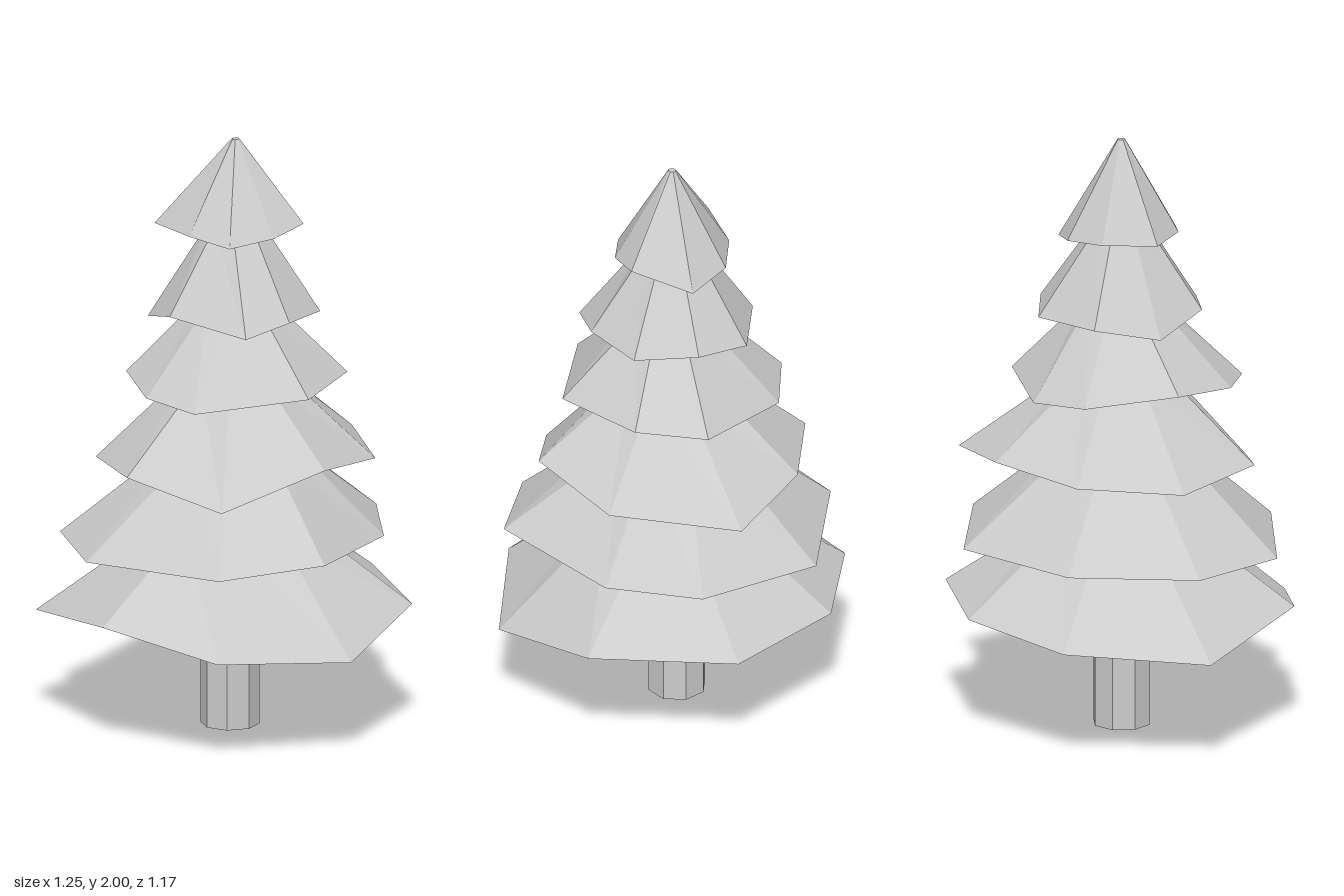
import * as THREE from 'three';

const SIDES = 8;
const AXIS_X = 0.035, AXIS_Z = -0.015;

const material = new THREE.MeshStandardMaterial({
  color: 0xcccccc, flatShading: true, side: THREE.DoubleSide,
});

// Skirts from bottom to top. Corners run from +x towards +z:
// rim = height of each corner, nudge = sideways shift [x, z] of uneven corners
const tiers = [
  { radius: 0.6, topRadius: 0.22, topY: 0.70,
    rim: [0.43, 0.34, 0.37, 0.44, 0.37, 0.4, 0.43, 0.435],
    nudge: { 0: [-0.015, 0.015], 3: [0.03, 0.015], 4: [-0.06, 0], 6: [-0.023, 0.027], 7: [-0.022, -0.021] } },
  { radius: 0.55, topRadius: 0.18, topY: 0.97,
    rim: [0.655, 0.675, 0.64, 0.635, 0.64, 0.65, 0.65, 0.67],
    nudge: { 0: [-0.06, 0], 1: [-0.05, 0.06], 3: [-0.07, -0.045], 4: [-0.03, 0], 6: [0.05, -0.005], 7: [0.043, 0.06] } },
  { radius: 0.462, topRadius: 0.15, topY: 1.21,
    rim: [0.92, 0.965, 0.847, 0.923, 0.9, 0.93, 0.95, 0.91],
    nudge: { 7: [0.015, -0.1] } },
  { radius: 0.38, topRadius: 0.12, topY: 1.45,
    rim: [1.2, 1.19, 1.165, 1.18, 1.205, 1.18, 1.16, 1.18],
    nudge: { 0: [-0.015, -0.047], 2: [-0.097, 0.015], 4: [0.022, 0.033], 6: [-0.07, 0.022] } },
  { radius: 0.28, topRadius: 0.09, topY: 1.71,
    rim: [1.418, 1.43, 1.4, 1.44, 1.386, 1.42, 1.418, 1.44],
    nudge: { 2: [0.065, 0.028], 4: [-0.01, 0], 6: [0.03, -0.01] } },
  { radius: 0.198, topRadius: 0.013, topY: 2,
    rim: [1.725, 1.7, 1.677, 1.7, 1.704, 1.69, 1.677, 1.65],
    nudge: { 0: [0.03, 0.035], 4: [-0.07, 0], 7: [0.014, -0.014] } },
];

// One octagonal cross-section; heightAt and nudge vary it per corner
function ring(radius, heightAt, nudge = {}) {
  return Array.from({ length: SIDES }, (_, i) => {
    const a = (i / SIDES) * Math.PI * 2;
    const [dx, dz] = nudge[i] ?? [0, 0];
    return [radius * Math.cos(a) + dx, heightAt(i), radius * Math.sin(a) + dz];
  });
}

// Skin a stack of rings listed from the underside, round the rim, to the top
function skin(rings) {
  const positions = rings.flat(2);
  const index = [];
  for (let r = 0; r < rings.length - 1; r++) {
    for (let i = 0; i < SIDES; i++) {
      const j = (i + 1) % SIDES;
      const a = r * SIDES + i, b = r * SIDES + j;
      index.push(a, a + SIDES, b + SIDES, a, b + SIDES, b);
    }
  }
  const geometry = new THREE.BufferGeometry();
  geometry.setAttribute('position', new THREE.Float32BufferAttribute(positions, 3));
  geometry.setIndex(index);
  geometry.computeVertexNormals();
  return geometry;
}

function makeTier({ radius, topRadius, topY, rim, nudge }) {
  const underY = rim.reduce((sum, y) => sum + y, 0) / SIDES + 0.015;
  return new THREE.Mesh(skin([
    ring(0, () => underY),               // underside centre
    ring(radius * 0.5, () => underY),    // flat inner underside
    ring(radius, (i) => rim[i], nudge),  // uneven rim
    ring(topRadius, () => topY),         // top edge
    ring(0, () => topY),                 // closed top
  ]), material);
}

export function createModel() {
  const tree = new THREE.Group();
  tree.name = 'tree';

  // Trunk, an open octagonal tube reaching into the lowest skirt
  const trunk = new THREE.Mesh(
    new THREE.CylinderGeometry(0.098, 0.098, 0.45, SIDES, 1, true), material);
  trunk.name = 'trunk';
  trunk.position.set(0.016, 0.225, -0.023);
  tree.add(trunk);

  // Foliage skirts
  const foliage = new THREE.Group();
  foliage.name = 'foliage';
  foliage.position.set(AXIS_X, 0, AXIS_Z);
  tiers.forEach((tier, i) => {
    const mesh = makeTier(tier);
    mesh.name = `foliageTier${i + 1}`;
    foliage.add(mesh);
  });
  tree.add(foliage);

  return tree;
}
